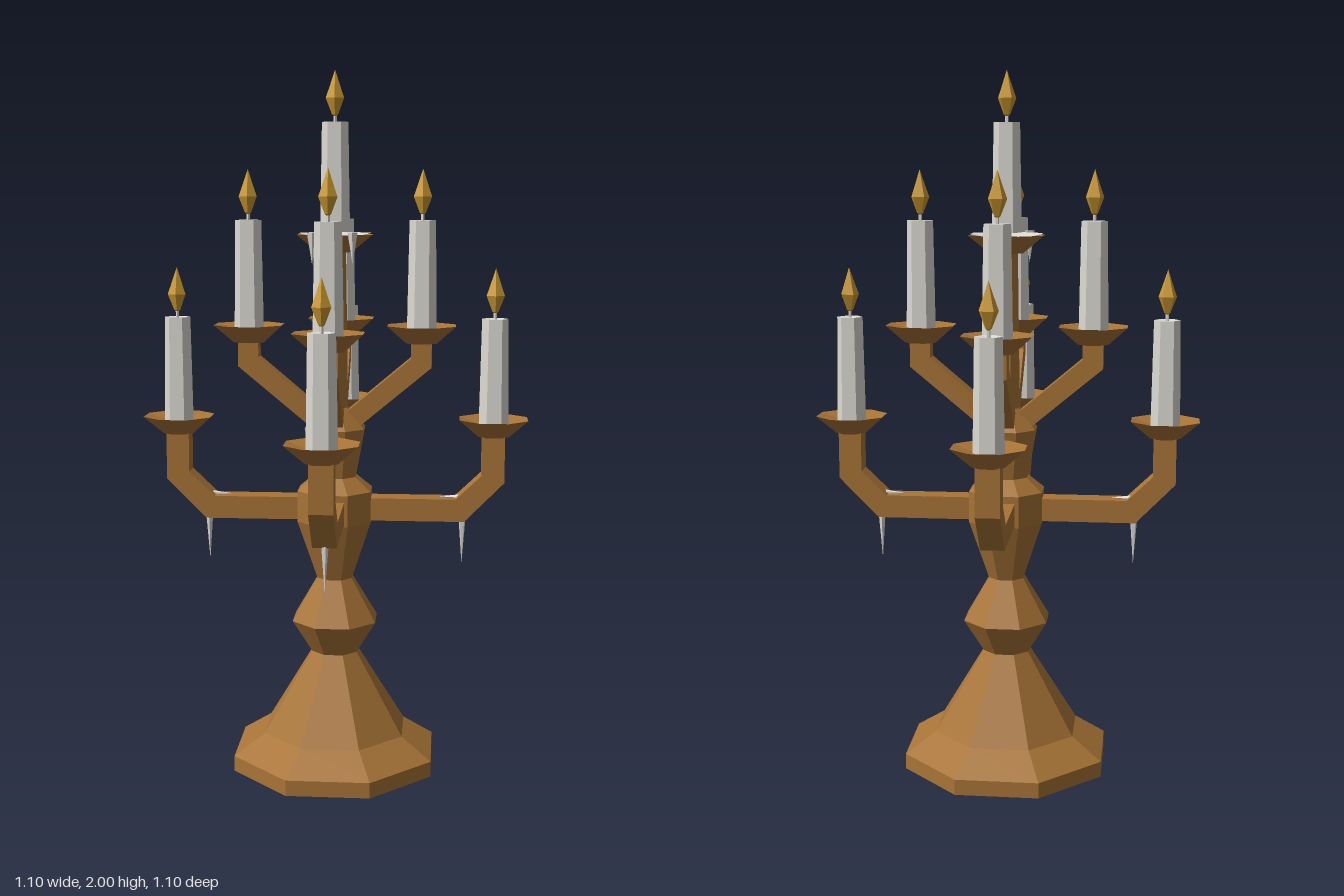
import * as THREE from 'three';

const mat = (name, color) => {
  const m = new THREE.MeshStandardMaterial({ color, flatShading: true });
  m.name = name;
  return m;
};

export function createModel() {
  const bronze = mat('bronze', 0xa87436);
  const wax = mat('wax', 0xdcdad2);
  const flameGold = mat('flame gold', 0xcc9a30);
  const root = new THREE.Group();
  root.name = 'candelabra';

  const add = (parent, name, geometry, material, x = 0, y = 0, z = 0) => {
    const mesh = new THREE.Mesh(geometry, material);
    mesh.name = name;
    mesh.position.set(x, y, z);
    parent.add(mesh);
    return mesh;
  };

  // Faceted turning from [radius, height] pairs, bottom to top
  const turned = (profile, sides, start, scale = 1) => new THREE.LatheGeometry(
    profile.map(([r, y]) => new THREE.Vector2(r * scale, y)), sides, start);
  // Octagon with flats on the axes; radii are measured to the flats
  const octagon = (profile) => turned(profile, 8, Math.PI / 8, 1 / Math.cos(Math.PI / 8));

  // Base and central stem
  add(root, 'base', octagon([[0, 0], [0.285, 0], [0.285, 0.045], [0.2, 0.105], [0.065, 0.34]]), bronze);
  add(root, 'stem', octagon([
    [0.065, 0.34], [0.12, 0.435], [0.05, 0.56], [0.105, 0.73], [0.105, 0.82],
    [0.06, 0.86], [0.085, 1.0], [0.036, 1.06], [0.03, 1.51],
  ]), bronze);

  // Shared cup, candle, wick and flame shapes, measured from the cup rim
  const cupGeo = octagon([[0, -0.05], [0.043, -0.05], [0.0965, 0], [0.045, -0.016], [0, -0.016]]);
  const candleGeo = turned([[0.042, -0.018], [0.037, 0.285], [0.03, 0.285], [0, 0.278]], 6, Math.PI / 2);
  const wickGeo = new THREE.CylinderGeometry(0.005, 0.005, 0.04, 5);
  const flameGeo = turned([[0, 0.297], [0.009, 0.305], [0.027, 0.35], [0.018, 0.375], [0, 0.427]], 5, 0);

  const addCandle = (x, y, z, candleLift = 0) => {
    const holder = new THREE.Group();
    holder.name = 'candleHolder';
    holder.position.set(x, y, z);
    root.add(holder);
    add(holder, 'cup', cupGeo, bronze);
    add(holder, 'candle', candleGeo, wax, 0, candleLift, 0);
    add(holder, 'wick', wickGeo, wax, 0, 0.29 + candleLift, 0);
    add(holder, 'flame', flameGeo, flameGold, 0, candleLift, 0);
    return holder;
  };

  // Square-section arm cut from its side outline
  const armGeo = (outline, width) => {
    const shape = new THREE.Shape(outline.map(([x, y]) => new THREE.Vector2(x, y)));
    return new THREE.ExtrudeGeometry(shape, { depth: width, bevelEnabled: false })
      .translate(0, 0, -width / 2);
  };
  const lowerArm = armGeo([
    [0.06, 0.735], [0.372, 0.735], [0.485, 0.85], [0.485, 0.985],
    [0.42, 0.985], [0.42, 0.87], [0.347, 0.8], [0.06, 0.8],
  ], 0.066);
  const upperArm = armGeo([
    [0.02, 0.965], [0.275, 1.177], [0.275, 1.25],
    [0.217, 1.25], [0.217, 1.203], [0.02, 1.037],
  ], 0.056);

  // Hanging wax
  const dripGeo = (r, length) => new THREE.ConeGeometry(r, length, 5)
    .rotateX(Math.PI).translate(0, -length / 2, 0);
  const armDrip = dripGeo(0.011, 0.14);

  // Four lower and four upper arms
  for (let i = 0; i < 4; i++) {
    const angle = i * Math.PI / 2;
    const c = Math.cos(angle), s = -Math.sin(angle);
    const arms = new THREE.Group();
    arms.name = 'armPair';
    arms.rotation.y = angle;
    root.add(arms);
    add(arms, 'lowerArm', lowerArm, bronze);
    add(arms, 'upperArm', upperArm, bronze);
    addCandle(0.4525 * c, 1.03, 0.4525 * s);
    addCandle(0.246 * c, 1.295, 0.246 * s, 0.01);

    // The back arm stays clean; the other three carry spilled wax
    if (i !== 1) {
      add(arms, 'waxDrip', armDrip, wax, 0.367, 0.745, 0);
      const spill = add(arms, 'waxSpill', new THREE.ConeGeometry(0.016, 0.07, 5), wax, 0.335, 0.802, 0);
      spill.rotation.z = Math.PI / 2;
      spill.scale.x = 0.6;
    }
  }

  // Central candle with a wax-filled cup
  const centre = addCandle(0, 1.55, 0, 0.025);
  centre.name = 'centralCandleHolder';
  centre.getObjectByName('cup').scale.set(1.09, 1, 1.09);
  add(centre, 'waxPool', octagon([[0.1, 0.004], [0.045, -0.008], [0, -0.008]]), wax);
  for (const side of [-1, 1]) {
    const drip = add(centre, 'cupDrip', dripGeo(0.014, 0.09), wax, side * 0.056, 0.008, 0.1);
    drip.rotation.y = side * 0.5;
    drip.scale.z = 1.2;
  }

  return root;
}
